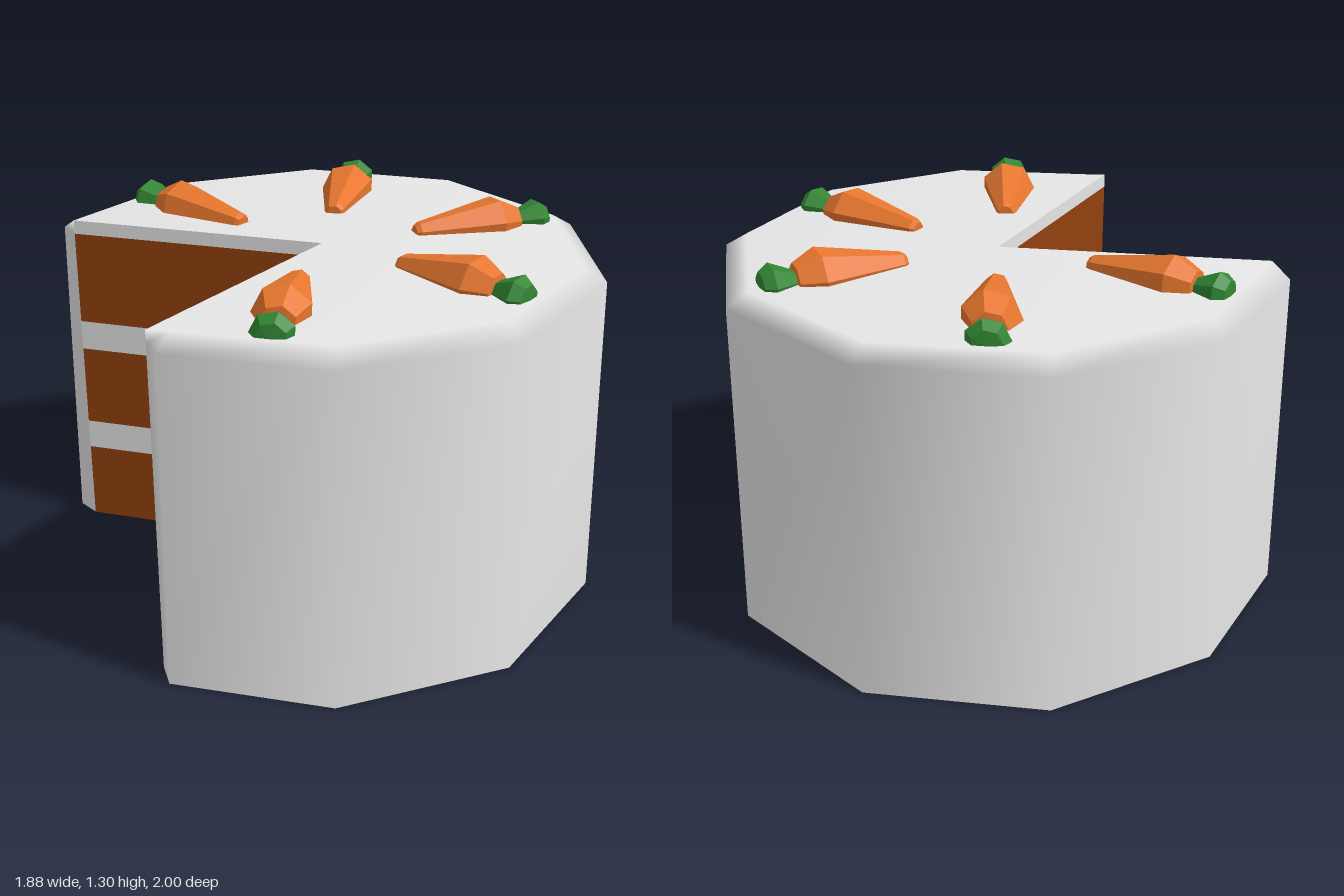
import * as THREE from 'three';

const frosting = new THREE.MeshStandardMaterial({ color: 0xe6e6e6 });
const sponge = new THREE.MeshStandardMaterial({ color: 0x91400f });
const carrotOrange = new THREE.MeshStandardMaterial({ color: 0xe8772f });
const leafGreen = new THREE.MeshStandardMaterial({ color: 0x318632 });
frosting.name = 'frosting';
sponge.name = 'sponge';
carrotOrange.name = 'carrot orange';
leafGreen.name = 'leaf green';

function addMesh(parent, name, geometry, material) {
  const mesh = new THREE.Mesh(geometry, material);
  mesh.name = name;
  parent.add(mesh);
  return mesh;
}

// Ten-sided outline with a slice missing: [x, z], the first and last points are the cut corners
const cutA = [-0.88, -0.288], cutB = [-0.553, 0.755];
const outline = [cutA, [-0.94, -0.36]];
for (let i = 0; i < 7; i++) {
  const a = (-126 + i * 36) * Math.PI / 180;
  outline.push([Math.cos(a) * 0.99, Math.sin(a)]);
}
outline.push([-0.53, 0.848], cutB);

// Outer wall, bevelled rim and top as one smooth skin
function frostingGeometry() {
  const rings = [[0, 1], [1.155, 0.982], [1.2, 0.905]]; // height, scale
  const n = outline.length, pos = [], index = [];
  for (const [y, s] of rings) {
    outline.forEach(([x, z], j) => {
      const k = j === 0 || j === n - 1 ? 1 : s;
      pos.push(x * k, y, z * k);
    });
  }
  for (let r = 0; r < rings.length - 1; r++) {
    for (let j = 0; j < n - 1; j++) {
      const a = r * n + j, b = a + n;
      index.push(a + 1, a, b, a + 1, b, b + 1);
    }
  }
  const centre = pos.length / 3, top = (rings.length - 1) * n;
  pos.push(0, 1.2, 0);
  for (let j = 0; j < n - 1; j++) index.push(centre, top + j + 1, top + j);
  const g = new THREE.BufferGeometry();
  g.setAttribute('position', new THREE.Float32BufferAttribute(pos, 3));
  g.setIndex(index);
  g.computeVertexNormals();
  return g;
}

// Upright strip from p to q between two heights, facing right of its direction
function addStrip(parent, name, p, q, y0, y1, material) {
  const dx = q[0] - p[0], dz = q[1] - p[1];
  const strip = addMesh(parent, name, new THREE.PlaneGeometry(Math.hypot(dx, dz), y1 - y0), material);
  strip.position.set((p[0] + q[0]) / 2, (y0 + y1) / 2, (p[1] + q[1]) / 2);
  strip.rotation.y = Math.atan2(-dz, dx);
}

function facetedLathe(profile) {
  const points = profile.map(([r, y]) => new THREE.Vector2(r, y));
  const g = new THREE.LatheGeometry(points, 7).toNonIndexed();
  g.computeVertexNormals();
  return g;
}

export function createModel() {
  const model = new THREE.Group();
  model.name = 'carrotCake';

  addMesh(model, 'outerFrosting', frostingGeometry(), frosting);

  // Underside
  const base = new THREE.Shape([[0, 0], ...outline].map(([x, z]) => new THREE.Vector2(x, z)));
  addMesh(model, 'cakeBottom', new THREE.ShapeGeometry(base).rotateX(Math.PI / 2), sponge);

  // Layers on both cut faces
  const layers = [
    [0, 0.29, sponge], [0.29, 0.4, frosting], [0.4, 0.7, sponge],
    [0.7, 0.81, frosting], [0.81, 1.15, sponge], [1.15, 1.2, frosting],
  ];
  for (const [y0, y1, material] of layers) {
    const name = material === sponge ? 'spongeLayer' : 'creamLayer';
    addStrip(model, name, cutA, [0, 0], y0, y1, material);
    addStrip(model, name, [0, 0], cutB, y0, y1, material);
  }

  // Carrots half sunk into the top, tips towards the middle
  const root = facetedLathe([[0, 0], [0.028, 0], [0.038, 0.015], [0.1, 0.31], [0.06, 0.39], [0, 0.395]]);
  const leaf = facetedLathe([[0, 0.37], [0.033, 0.38], [0.074, 0.47], [0.05, 0.505], [0, 0.51]]);
  const carrots = [ // tip x, z, leaf end x, z
    [0.06, -0.33, 0.175, -0.83], [0.33, -0.095, 0.81, -0.245], [0.25, 0.22, 0.62, 0.57],
    [-0.085, 0.345, -0.185, 0.84], [-0.27, -0.225, -0.645, -0.565],
  ];
  for (const [x, z, ex, ez] of carrots) {
    const carrot = new THREE.Group();
    carrot.name = 'carrot';
    addMesh(carrot, 'carrotRoot', root, carrotOrange);
    addMesh(carrot, 'carrotLeaf', leaf, leafGreen);
    carrot.position.set(x, 1.2, z);
    const direction = new THREE.Vector3(ex - x, 0, ez - z).normalize();
    carrot.quaternion.setFromUnitVectors(new THREE.Vector3(0, 1, 0), direction);
    model.add(carrot);
  }
  return model;
}
